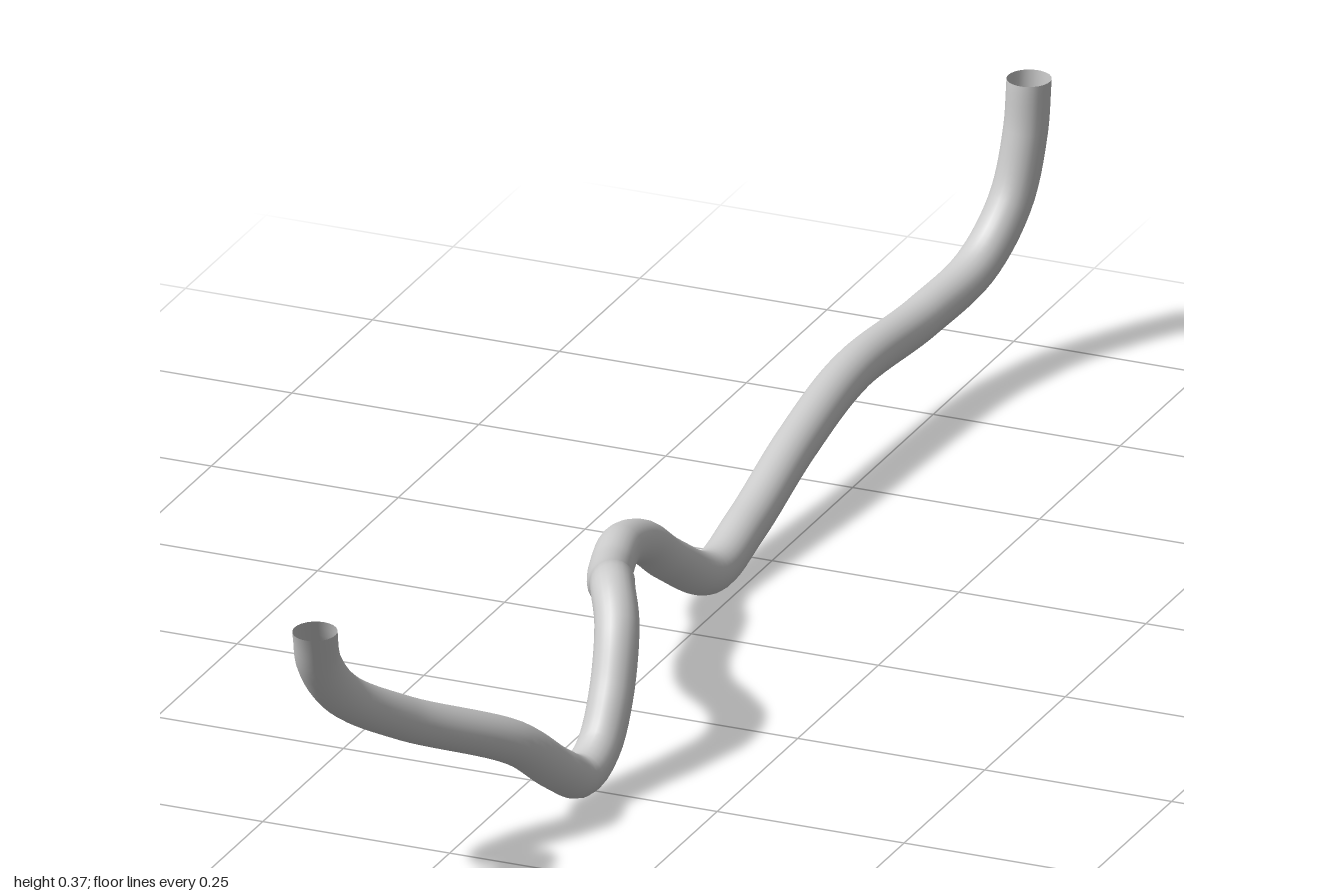
import * as THREE from 'three';

const RADIUS = 0.0278;
const SEGMENTS = 180;
const SIDES = 24;
const END_HEIGHT = 0.37;

// Centre line of the hose, from the front mouth to the back mouth
const PATH = [
  [-0.085, 0.37, 0.971], [-0.091, 0.315, 0.943], [-0.079, 0.26, 0.9], [-0.035, 0.2, 0.81],
  [0.052, 0.127, 0.67], [0.078, 0.07, 0.6], [0.087, 0.042, 0.548], [0.091, 0.06, 0.5],
  [0.089, 0.115, 0.455], [0.075, 0.185, 0.405], [0.05, 0.212, 0.36], [0.026, 0.195, 0.305],
  [-0.004, 0.165, 0.245], [-0.03, 0.153, 0.18], [-0.047, 0.154, 0.11], [-0.05, 0.13, 0.035],
  [-0.044, 0.083, -0.03], [-0.03, 0.031, -0.125], [-0.029, 0.05, -0.235],
  [-0.033, 0.093, -0.4], [-0.037, 0.119, -0.58], [-0.022, 0.122, -0.77],
  [0.001, 0.15, -0.885], [0.02, 0.215, -0.943], [0.03, 0.3, -0.966], [0.033, 0.37, -0.971],
];

// Slide one ring of the tube along its axis until it lies level at the cut height
function cutLevel(geometry, ring, tangent) {
  const pos = geometry.attributes.position;
  for (let j = 0; j <= SIDES; j++) {
    const i = ring * (SIDES + 1) + j;
    const t = (END_HEIGHT - pos.getY(i)) / tangent.y;
    pos.setXYZ(i, pos.getX(i) + tangent.x * t, END_HEIGHT, pos.getZ(i) + tangent.z * t);
  }
}

export function createModel() {
  const group = new THREE.Group();
  group.name = 'bentHose';

  const curve = new THREE.CatmullRomCurve3(PATH.map((p) => new THREE.Vector3(...p)), false, 'centripetal');
  const geometry = new THREE.TubeGeometry(curve, SEGMENTS, RADIUS, SIDES, false);
  cutLevel(geometry, 0, curve.getTangentAt(0));
  cutLevel(geometry, SEGMENTS, curve.getTangentAt(1));

  // Open at both mouths, so the inside wall shows
  const material = new THREE.MeshStandardMaterial({ color: 0xcccccc, side: THREE.DoubleSide });
  const hose = new THREE.Mesh(geometry, material);
  hose.name = 'hose';
  group.add(hose);
  return group;
}
